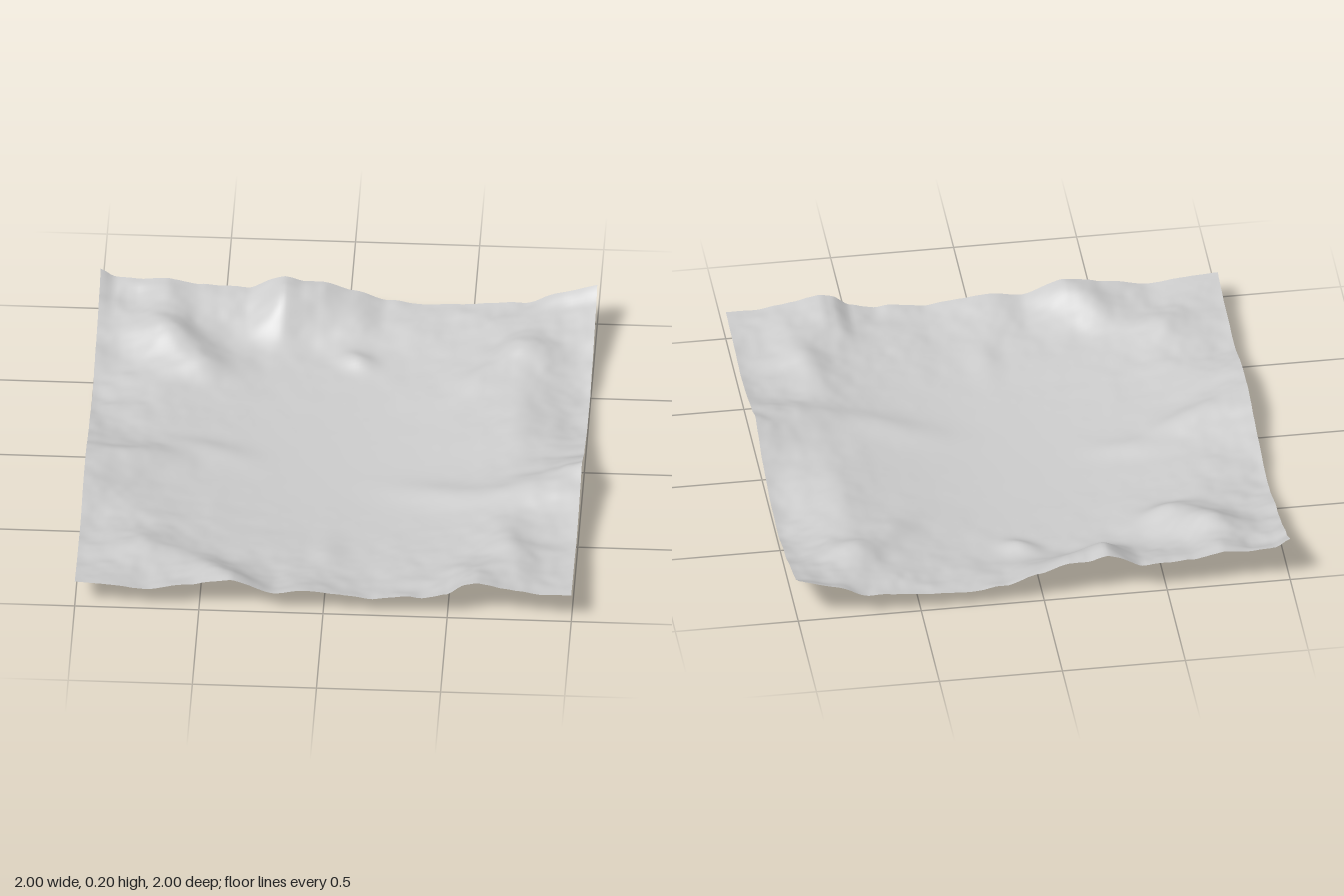
import * as THREE from 'three';

// Smooth height profile through [position, height] points
function profile(points) {
  return (t) => {
    let i = 0;
    while (i < points.length - 2 && t > points[i + 1][0]) i++;
    const [a, ha] = points[i], [b, hb] = points[i + 1];
    const k = THREE.MathUtils.smoothstep(t, a, b) * 0.5 + ((t - a) / (b - a)) * 0.5;
    return ha + (hb - ha) * k;
  };
}

// Heights along the four borders
const backEdge = profile([[-1, 0.205], [-0.94, 0.17], [-0.85, 0.16], [-0.73, 0.172], [-0.6, 0.14], [-0.4, 0.13],
  [-0.26, 0.2], [-0.18, 0.175], [-0.1, 0.172], [0.02, 0.135], [0.15, 0.08], [0.4, 0.075], [0.7, 0.1], [0.85, 0.145], [1, 0.195]]);
const frontEdge = profile([[-1, 0.12], [-0.7, 0.1], [-0.5, 0.13], [-0.37, 0.15], [-0.2, 0.09], [-0.07, 0.11],
  [0.05, 0.095], [0.2, 0.08], [0.4, 0.1], [0.5, 0.12], [0.57, 0.17], [0.62, 0.18], [0.75, 0.15], [0.9, 0.13], [1, 0.13]]);
const rightEdge = profile([[-1, 0.195], [-0.92, 0.15], [-0.8, 0.12], [-0.65, 0.07], [-0.45, 0.045], [-0.2, 0.06],
  [0, 0.1], [0.12, 0.15], [0.18, 0.177], [0.3, 0.15], [0.42, 0.125], [0.6, 0.11], [0.8, 0.12], [1, 0.13]]);
const leftEdge = profile([[-1, 0.205], [-0.9, 0.15], [-0.75, 0.11], [-0.5, 0.065], [-0.35, 0.05], [-0.15, 0.075],
  [0, 0.1], [0.15, 0.13], [0.3, 0.13], [0.5, 0.085], [0.7, 0.09], [1, 0.12]]);

// Hills: x, z, height, half length, half width, turn
const hills = [
  [-0.7, -0.7, 0.08, 0.16, 0.1, 0.5],
  [-0.57, -0.55, 0.04, 0.12, 0.07, -0.2],
  [-0.2, -0.88, 0.04, 0.18, 0.1, -0.8],
  [0.05, -0.66, 0.03, 0.08, 0.05, 0.6],
  [0.58, -0.56, 0.025, 0.16, 0.07, -0.8],
  [0.8, -0.68, 0.03, 0.16, 0.08, 0],
  [0.85, 0.27, 0.035, 0.2, 0.08, 0.1],
  [0.5, 0.25, 0.022, 0.25, 0.08, 0.3],
  [0.73, 0.65, 0.025, 0.2, 0.07, 1.3],
  [0, 0.68, 0.015, 0.12, 0.06, 1.6],
  [-0.45, 0.88, 0.04, 0.16, 0.08, 0.9],
  [-0.75, 0.7, 0.025, 0.16, 0.1, -0.2],
  [-0.78, 0.08, 0.04, 0.2, 0.08, -0.3],
  [-0.48, -0.03, 0.015, 0.14, 0.06, 0.2],
];

// Seeded lattice noise in the range -1..1
function lattice(i, j) {
  let h = Math.imul(i + 101, 374761393) ^ Math.imul(j + 57, 668265263);
  h = Math.imul(h ^ (h >>> 13), 1274126177);
  return ((h ^ (h >>> 16)) >>> 0) / 2147483648 - 1;
}
function noise(x, z) {
  const i = Math.floor(x), j = Math.floor(z);
  const u = THREE.MathUtils.smootherstep(x - i, 0, 1), v = THREE.MathUtils.smootherstep(z - j, 0, 1);
  const { lerp } = THREE.MathUtils;
  return lerp(lerp(lattice(i, j), lattice(i + 1, j), u), lerp(lattice(i, j + 1), lattice(i + 1, j + 1), u), v);
}

// Shallow bowl with hills
function inner(x, z) {
  let y = (x > 0 ? 0.15 : 0.095) * x * x + (z > 0 ? 0.08 : 0.05) * z * z;
  for (const [cx, cz, h, l, w, turn] of hills) {
    const c = Math.cos(turn), s = Math.sin(turn);
    const a = ((x - cx) * c + (z - cz) * s) / l, b = ((z - cz) * c - (x - cx) * s) / w;
    y += h * Math.exp(-a * a - b * b);
  }
  return y;
}

const fade = (d) => 1 - THREE.MathUtils.smoothstep(d, 0, 0.32);

// Pull the bowl onto the front and back borders, then onto the sides
function betweenEnds(x, z) {
  const end = z > 0 ? 1 : -1;
  const edge = end > 0 ? frontEdge : backEdge;
  return inner(x, z) + (edge(x) - inner(x, end)) * fade(1 - Math.abs(z));
}
function height(x, z) {
  const side = x > 0 ? 1 : -1;
  const edge = side > 0 ? rightEdge : leftEdge;
  const y = betweenEnds(x, z) + (edge(z) - betweenEnds(side, z)) * fade(1 - Math.abs(x));
  const rough = Math.min(1, x * x + z * z);
  return y + rough * (0.006 * noise(x * 7, z * 7) + 0.004 * noise(x * 15 + 9, z * 15) + 0.0015 * noise(x * 31, z * 31 + 5));
}

export function createModel() {
  const geometry = new THREE.PlaneGeometry(2, 2, 140, 140).rotateX(-Math.PI / 2);
  const p = geometry.attributes.position;
  for (let i = 0; i < p.count; i++) p.setY(i, height(p.getX(i), p.getZ(i)));

  // Rest the lowest point on the ground
  geometry.computeBoundingBox();
  geometry.translate(0, -geometry.boundingBox.min.y, 0);
  geometry.computeVertexNormals();

  const terrain = new THREE.Mesh(geometry, new THREE.MeshStandardMaterial({ color: 0xcccccc, side: THREE.DoubleSide }));
  terrain.name = 'terrain';
  const group = new THREE.Group();
  group.name = 'landscape';
  group.add(terrain);
  return group;
}
